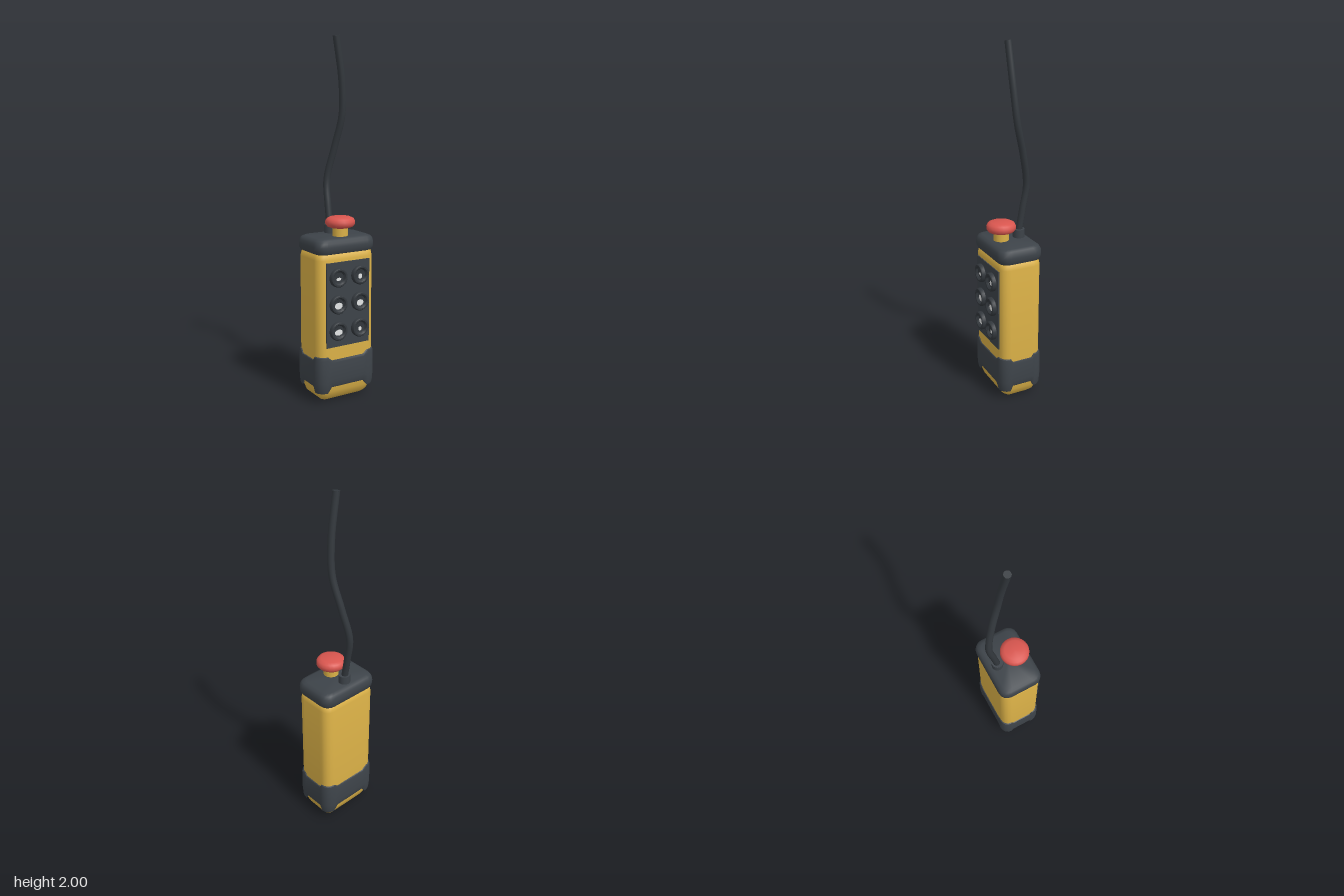
import * as THREE from 'three';
import { toCreasedNormals } from 'three/addons/utils/BufferGeometryUtils.js';

const material = (name, color) => {
  const m = new THREE.MeshStandardMaterial({ color });
  m.name = name;
  return m;
};

const CZ = -0.011; // depth centre of the housing

// Rounded-rectangle outline, anticlockwise from above. Each point knows if it belongs to a corner pad.
function outline(hw, hd, r) {
  const pts = [];
  const stops = [-0.96, -0.77, 0.77, 0.96];
  const corners = [[1, 1], [1, -1], [-1, -1], [-1, 1]];
  corners.forEach(([sx, sz], c) => {
    const cx = sx * (hw - r), cz = sz * (hd - r);
    for (let i = 0; i <= 4; i++) {
      const a = (c + i / 4) * Math.PI / 2;
      pts.push({ x: cx + r * Math.sin(a), z: cz + r * Math.cos(a), pad: true });
    }
    const [nx, nz] = corners[(c + 1) % 4];
    const ex = nx * (hw - r), ez = nz * (hd - r);
    const ox = c === 0 ? r : c === 2 ? -r : 0;
    const oz = c === 1 ? -r : c === 3 ? r : 0;
    for (const s of stops) {
      const t = (s + 1) / 2;
      pts.push({ x: cx + (ex - cx) * t + ox, z: cz + (ez - cz) * t + oz, pad: Math.abs(s) > 0.9 });
    }
  });
  return pts;
}

// Skin rings from bottom to top. A ring is [inset, height, height on corner pads].
function loft(hw, hd, r, rings, capped = true, crease = 0.7) {
  const pos = [], index = [];
  let n = 0;
  for (const [inset, y, padY = y] of rings) {
    const loop = outline(hw - inset, hd - inset, Math.max(r - inset * 0.5, 0.015));
    n = loop.length;
    for (const p of loop) pos.push(p.x, p.pad ? padY : y, p.z + CZ);
  }
  for (let k = 0; k < rings.length - 1; k++) {
    for (let i = 0; i < n; i++) {
      const a = k * n + i, b = k * n + (i + 1) % n;
      index.push(a, b, b + n, a, b + n, a + n);
    }
  }
  if (capped) {
    const top = (rings.length - 1) * n;
    const mid = pos.length / 3;
    pos.push(0, rings[0][1], CZ, 0, rings[rings.length - 1][1], CZ);
    for (let i = 0; i < n; i++) {
      const j = (i + 1) % n;
      index.push(mid, j, i, mid + 1, top + i, top + j);
    }
  }
  const g = new THREE.BufferGeometry();
  g.setAttribute('position', new THREE.Float32BufferAttribute(pos, 3));
  g.setIndex(index);
  return toCreasedNormals(g, crease);
}

const lathe = (profile, segments) => toCreasedNormals(
  new THREE.LatheGeometry(profile.map(([x, y]) => new THREE.Vector2(x, y)), segments), 0.75);

export function createModel() {
  const model = new THREE.Group();
  model.name = 'pendantController';
  const yellow = material('yellow housing', 0xdbb147);
  const rubber = material('dark rubber', 0x3d4349);
  const black = material('cable black', 0x33383d);
  const red = material('stop red', 0xd9564f);
  const white = material('symbol white', 0xe4e6e6);

  const add = (name, geometry, mat, x = 0, y = 0, z = 0, parent = model) => {
    const mesh = new THREE.Mesh(geometry, mat);
    mesh.name = name;
    mesh.position.set(x, y, z);
    parent.add(mesh);
    return mesh;
  };

  // Housing with a tapered, rounded foot
  add('housing', loft(0.18, 0.123, 0.05, [
    [0.07, 0], [0.045, 0.007], [0.025, 0.025], [0.011, 0.06], [0.003, 0.1], [0, 0.14],
    [0, 0.81], [0.005, 0.835], [0.018, 0.85]]), yellow);

  // Wrap-around bumper with taller corner pads
  add('bumper', loft(0.188, 0.131, 0.052, [
    [0.016, 0.096, 0.066], [0.007, 0.092, 0.06], [0.003, 0.1, 0.075], [0, 0.13, 0.12],
    [0, 0.235, 0.25], [0.003, 0.246, 0.266], [0.012, 0.25, 0.272]], false), rubber);

  // Soft top cap
  add('topCap', loft(0.187, 0.131, 0.055, [
    [0.024, 0.838], [0.009, 0.844], [0.001, 0.86], [0, 0.882],
    [0.003, 0.902], [0.012, 0.917], [0.03, 0.925]]), rubber);

  // Button panel
  add('buttonPanel', new THREE.BoxGeometry(0.274, 0.475, 0.014), rubber, 0, 0.56, 0.111);

  // Dished push buttons with pale symbols
  const buttonShape = lathe([[0.049, 0], [0.053, 0.004], [0.053, 0.02], [0.048, 0.026],
    [0.04, 0.026], [0.035, 0.021], [0.031, 0.013], [0, 0.008]], 24);
  const symbolSizes = [[0.016, 0.009], [0.013, 0.015], [0.025, 0.019],
    [0.022, 0.018], [0.025, 0.017], [0.011, 0.013]];
  symbolSizes.forEach(([w, h], i) => {
    const button = new THREE.Group();
    button.name = 'button' + (i + 1);
    button.position.set(i % 2 ? 0.069 : -0.069, 0.715 - 0.15 * Math.floor(i / 2), 0.117);
    add('buttonRing', buttonShape, black, 0, 0, 0, button).rotation.x = Math.PI / 2;
    const symbol = add('buttonSymbol', new THREE.CircleGeometry(1, 14), white, 0, -0.008, 0.0135, button);
    symbol.scale.set(w, h, 1);
    model.add(button);
  });

  // Emergency stop: stem and mushroom head
  add('stopStem', new THREE.CylinderGeometry(0.043, 0.043, 0.07, 20), yellow, 0, 0.95, 0.032);
  add('stopHead', lathe([[0, 0.972], [0.055, 0.972], [0.073, 0.979], [0.082, 0.992], [0.082, 1.008],
    [0.074, 1.022], [0.056, 1.03], [0, 1.031]], 24), red, 0, 0, 0.032);

  // Cable gland and hanging cable
  add('cableGland', new THREE.CylinderGeometry(0.033, 0.033, 0.055, 16), rubber, 0, 0.945, -0.077);
  const path = new THREE.CatmullRomCurve3([
    [0, 0.94, -0.075], [0, 1.08, -0.099], [0.005, 1.22, -0.12], [0.033, 1.4, -0.085],
    [0.054, 1.58, -0.038], [0.042, 1.76, -0.02], [0, 1.999, -0.01],
  ].map(p => new THREE.Vector3(...p)));
  add('cable', new THREE.TubeGeometry(path, 48, 0.019, 10), black);
  const end = add('cableEnd', new THREE.CircleGeometry(0.019, 10), black, 0, 1.999, -0.01);
  end.quaternion.setFromUnitVectors(new THREE.Vector3(0, 0, 1), path.getTangent(1));

  return model;
}
